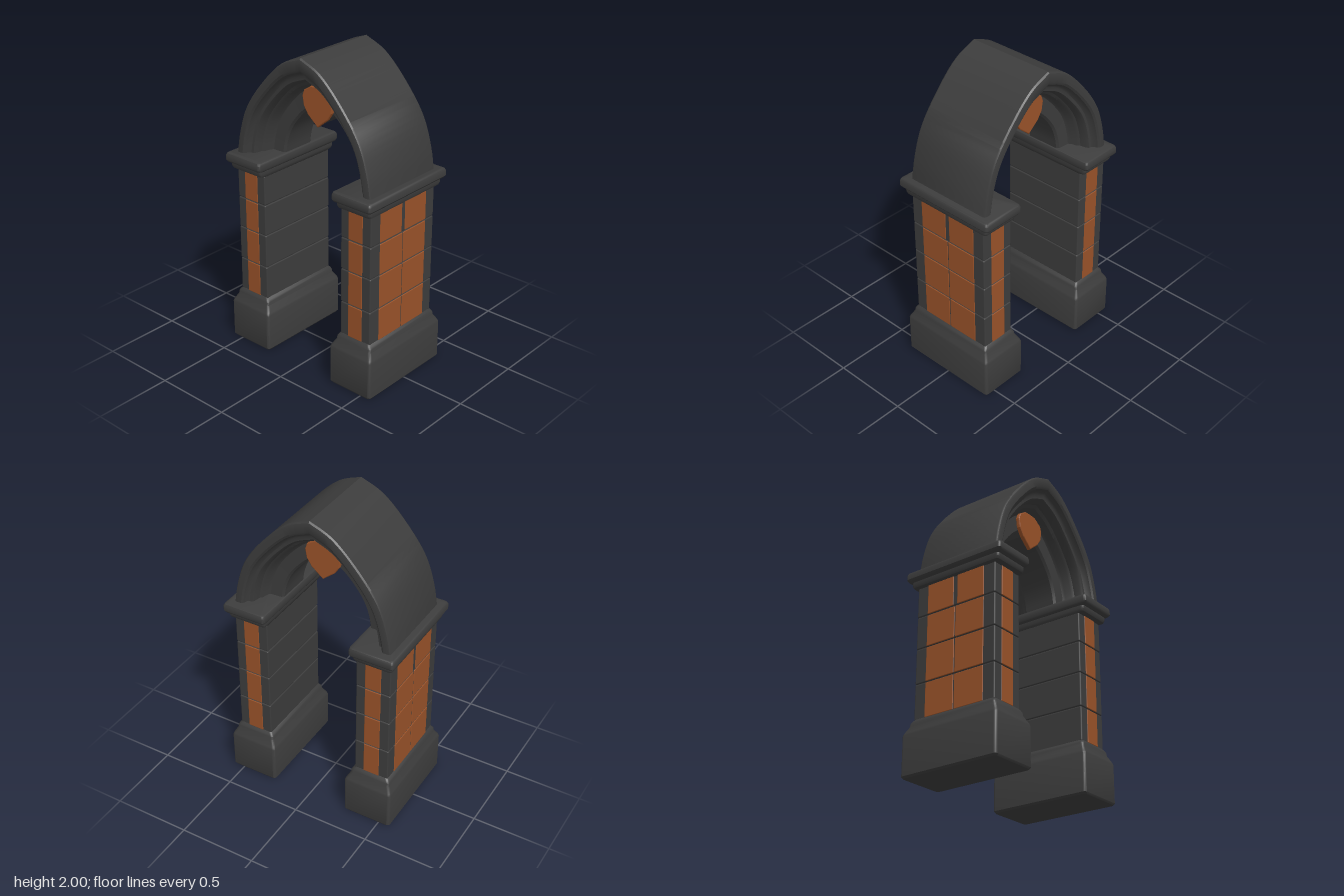
import * as THREE from 'three';
import { toCreasedNormals } from 'three/addons/utils/BufferGeometryUtils.js';
import { RoundedBoxGeometry } from 'three/addons/geometries/RoundedBoxGeometry.js';

const stone = new THREE.MeshStandardMaterial({ color: 0x3c3c3c });
stone.name = 'darkStone';
const brick = new THREE.MeshStandardMaterial({ color: 0x995229 });
brick.name = 'orangeBrick';

function add(parent, name, geometry, material, x = 0, y = 0, z = 0) {
  const mesh = new THREE.Mesh(geometry, material);
  mesh.name = name;
  mesh.position.set(x, y, z);
  parent.add(mesh);
  return mesh;
}

// Joins equal rings of points into a skin, optionally closing both ends
function loft(rings, crease) {
  const n = rings[0].length;
  const index = [];
  for (let j = 0; j < rings.length - 1; j++) {
    for (let i = 0; i < n; i++) {
      const a = j * n + i, b = j * n + (i + 1) % n;
      index.push(a, a + n, b, b, a + n, b + n);
    }
  }
  const last = (rings.length - 1) * n;
  for (let i = 1; i < n - 1; i++) {
    index.push(0, i, i + 1, last, last + i + 1, last + i);
  }
  const geometry = new THREE.BufferGeometry();
  geometry.setAttribute('position', new THREE.Float32BufferAttribute(rings.flat(2), 3));
  geometry.setIndex(index);
  return toCreasedNormals(geometry.toNonIndexed(), crease);
}

// Rounded rectangle ring at height y
function roundedRing(y, x0, x1, halfZ, r) {
  const ring = [];
  const cx = (x0 + x1) / 2, hx = (x1 - x0) / 2 - r, hz = halfZ - r;
  const corners = [[1, 1], [-1, 1], [-1, -1], [1, -1]];
  corners.forEach(([sx, sz], k) => {
    for (let i = 0; i <= 4; i++) {
      const a = (k + i / 4) * Math.PI / 2;
      ring.push([cx + sx * hx + r * Math.cos(a), y, sz * hz + r * Math.sin(a)]);
    }
  });
  return ring;
}

// Levels are [y, inner x, outer x, half depth]; side mirrors them
function moulding(levels, side, r) {
  const rings = levels.map(([y, a, b, z]) =>
    roundedRing(y, side > 0 ? a : -b, side > 0 ? b : -a, z, r));
  return loft(rings, 0.6);
}

const BASE = [
  [0, 0.265, 0.568, 0.33], [0.012, 0.256, 0.577, 0.338], [0.25, 0.256, 0.577, 0.338],
  [0.265, 0.262, 0.572, 0.333], [0.305, 0.284, 0.552, 0.31], [0.325, 0.286, 0.55, 0.307],
  [0.338, 0.294, 0.542, 0.3], [0.35, 0.305, 0.532, 0.29],
];
const CAPITAL = [
  [1.18, 0.306, 0.532, 0.29], [1.19, 0.302, 0.548, 0.32], [1.205, 0.298, 0.553, 0.327],
  [1.225, 0.298, 0.553, 0.327], [1.234, 0.288, 0.566, 0.348], [1.245, 0.284, 0.574, 0.355],
  [1.275, 0.284, 0.574, 0.355], [1.288, 0.288, 0.568, 0.349], [1.293, 0.296, 0.56, 0.34],
];
const COURSES = [[0.345, 0.562], [0.567, 0.782], [0.787, 0.987], [0.993, 1.185]];

function createPillar(side) {
  const pillar = new THREE.Group();
  pillar.name = side > 0 ? 'leftPillar' : 'rightPillar';
  add(pillar, 'base', moulding(BASE, side, 0.018), stone);
  add(pillar, 'capital', moulding(CAPITAL, side, 0.018), stone);
  add(pillar, 'core', new THREE.BoxGeometry(0.215, 0.9, 0.566), stone, side * 0.4185, 0.76, 0);

  COURSES.forEach(([y0, y1], row) => {
    const h = y1 - y0, y = (y0 + y1) / 2;
    add(pillar, 'stoneCourse', new RoundedBoxGeometry(0.227, h + 0.003, 0.58, 2, 0.008),
      stone, side * 0.4185, y, 0);
    // Narrow bricks on front and back
    for (const z of [-0.289, 0.289]) {
      add(pillar, 'endBrick', new RoundedBoxGeometry(0.105, h - 0.004, 0.009, 2, 0.004),
        brick, side * 0.418, y, z);
    }
    // Pairs of bricks on the outer face, with a wider joint in the top course
    const gap = row === 3 ? 0.014 : 0.003;
    for (const s of [-1, 1]) {
      add(pillar, 'sideBrick', new RoundedBoxGeometry(0.009, h - 0.004, 0.21 - gap, 2, 0.004),
        brick, side * 0.531, y, s * (0.21 + gap) / 2);
    }
  });
  return pillar;
}

function halfCurve(points) {
  const curve = new THREE.CatmullRomCurve3(points.map(([x, y]) => new THREE.Vector3(x, y, 0)));
  return curve.getSpacedPoints(24);
}

// Pointed arch: a stepped section stretched between outer and inner curves
function archGeometry() {
  const outer = halfCurve([[0.53, 1.27], [0.503, 1.42], [0.44, 1.6], [0.3, 1.79], [0.14, 1.94], [0, 2]]);
  const inner = halfCurve([[0.298, 1.27], [0.28, 1.37], [0.235, 1.475], [0.11, 1.615], [0, 1.67]]);
  const face = [
    [0.02, 0.278], [0, 0.283], [0.025, 0.293], [0.06, 0.296], [0.2, 0.296], [0.25, 0.287], [0.29, 0.262],
    [0.34, 0.252], [0.41, 0.25], [0.45, 0.235], [0.48, 0.195], [0.54, 0.18],
    [0.58, 0.14], [0.63, 0.125], [0.95, 0.12], [1, 0.105],
  ].slice(1);
  const section = [...face, ...face.map(([t, z]) => [t, -z]).reverse()];
  const ringAt = (k, side) => section.map(([t, z]) => [
    side * THREE.MathUtils.lerp(outer[k].x, inner[k].x, t),
    THREE.MathUtils.lerp(outer[k].y, inner[k].y, t), z]);
  const rings = [];
  for (let k = 0; k <= 24; k++) rings.push(ringAt(k, 1));
  for (let k = 23; k >= 0; k--) rings.push(ringAt(k, -1));
  return loft(rings, 0.55);
}

// Shield-shaped keystone outline
function shieldShape(scale) {
  const half = [[0, 1.79], [0.05, 1.787], [0.105, 1.752], [0.118, 1.715], [0.108, 1.655], [0.075, 1.605], [0, 1.543]];
  const all = [...half, ...half.slice(1, -1).reverse().map(([x, y]) => [-x, y])];
  return new THREE.Shape(all.map(([x, y]) => new THREE.Vector2(x * scale, 1.67 + (y - 1.67) * scale)));
}

export function createModel() {
  const model = new THREE.Group();
  model.name = 'gothicArchway';
  for (const side of [1, -1]) model.add(createPillar(side));
  add(model, 'pointedArch', archGeometry(), stone);

  // Dark keystone through the arch with an orange shield on each face
  add(model, 'keystone', new THREE.ExtrudeGeometry(shieldShape(0.95),
    { depth: 0.26, bevelEnabled: false }), stone, 0, 0, -0.13);
  for (const front of [true, false]) {
    const shield = add(model, 'shield', new THREE.ExtrudeGeometry(shieldShape(0.95), {
      depth: 0.012, bevelThickness: 0.008, bevelSize: 0.006, bevelSegments: 2,
    }), brick, 0, 0, front ? 0.13 : -0.13);
    if (!front) shield.rotation.y = Math.PI;
  }
  return model;
}
